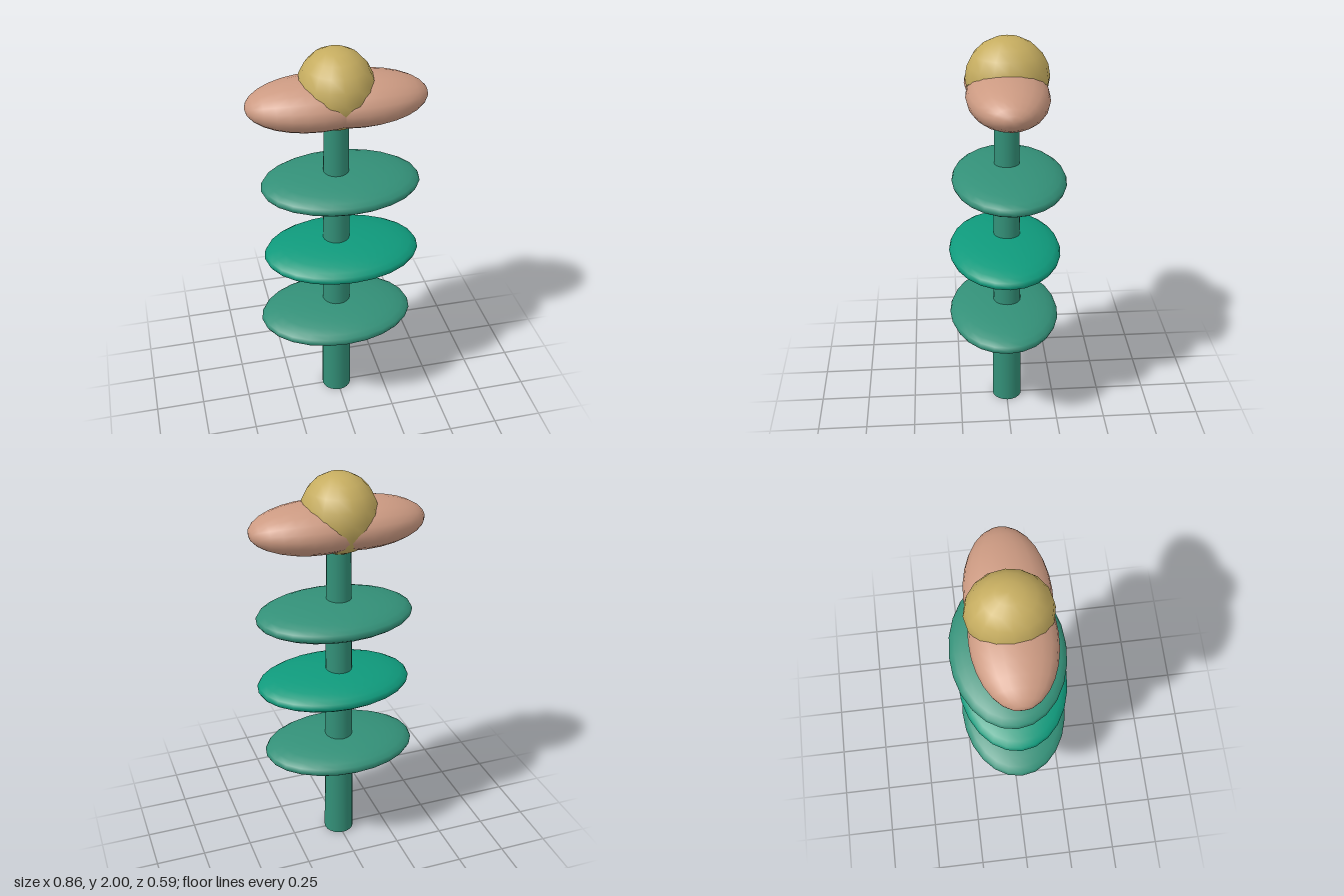
import * as THREE from 'three';

const paint = (color) => new THREE.MeshStandardMaterial({ color });
const GREEN = paint(0x339078);
const BRIGHT_GREEN = paint(0x0f9a7c);
const PINK = paint(0xcc9a82);
const GOLD = paint(0xc6ad60);

// Sphere stretched to three half-sizes, with matching normals
function ellipsoid(name, material, size, position, around = 20, down = 12) {
  const geometry = new THREE.SphereGeometry(1, around, down).scale(...size);
  const mesh = new THREE.Mesh(geometry, material);
  mesh.name = name;
  mesh.position.set(...position);
  return mesh;
}

export function createModel() {
  const model = new THREE.Group();
  model.name = 'flower';

  // Slightly tapering stem, its top hidden in the flower head
  const stem = new THREE.Mesh(new THREE.CylinderGeometry(0.059, 0.077, 1.7, 20), GREEN);
  stem.name = 'stem';
  stem.position.set(-0.004, 0.85, -0.003);
  model.add(stem);

  // Three flat oval leaves threaded on the stem
  const leaves = [
    ['lowerLeaf', GREEN, [-0.01, 0.53, 0.013]],
    ['middleLeaf', BRIGHT_GREEN, [0.02, 0.915, 0.01]],
    ['upperLeaf', GREEN, [0.02, 1.3, -0.012]],
  ];
  for (const [name, material, position] of leaves) {
    model.add(ellipsoid(name, material, [0.392, 0.076, 0.28], position, 24, 14));
  }

  // Two overlapping petals, their poles turned outward to form the tips
  for (const side of [-1, 1]) {
    const petal = ellipsoid(side > 0 ? 'leftPetal' : 'rightPetal', PINK,
      [0.119, 0.33, 0.195], [side * 0.1, 1.75, 0], 20, 14);
    petal.rotation.z = -side * Math.PI / 2;
    model.add(petal);
  }

  // Round flower centre
  model.add(ellipsoid('flowerCentre', GOLD, [0.181, 0.193, 0.199], [-0.004, 1.807, -0.006], 16, 10));

  return model;
}
